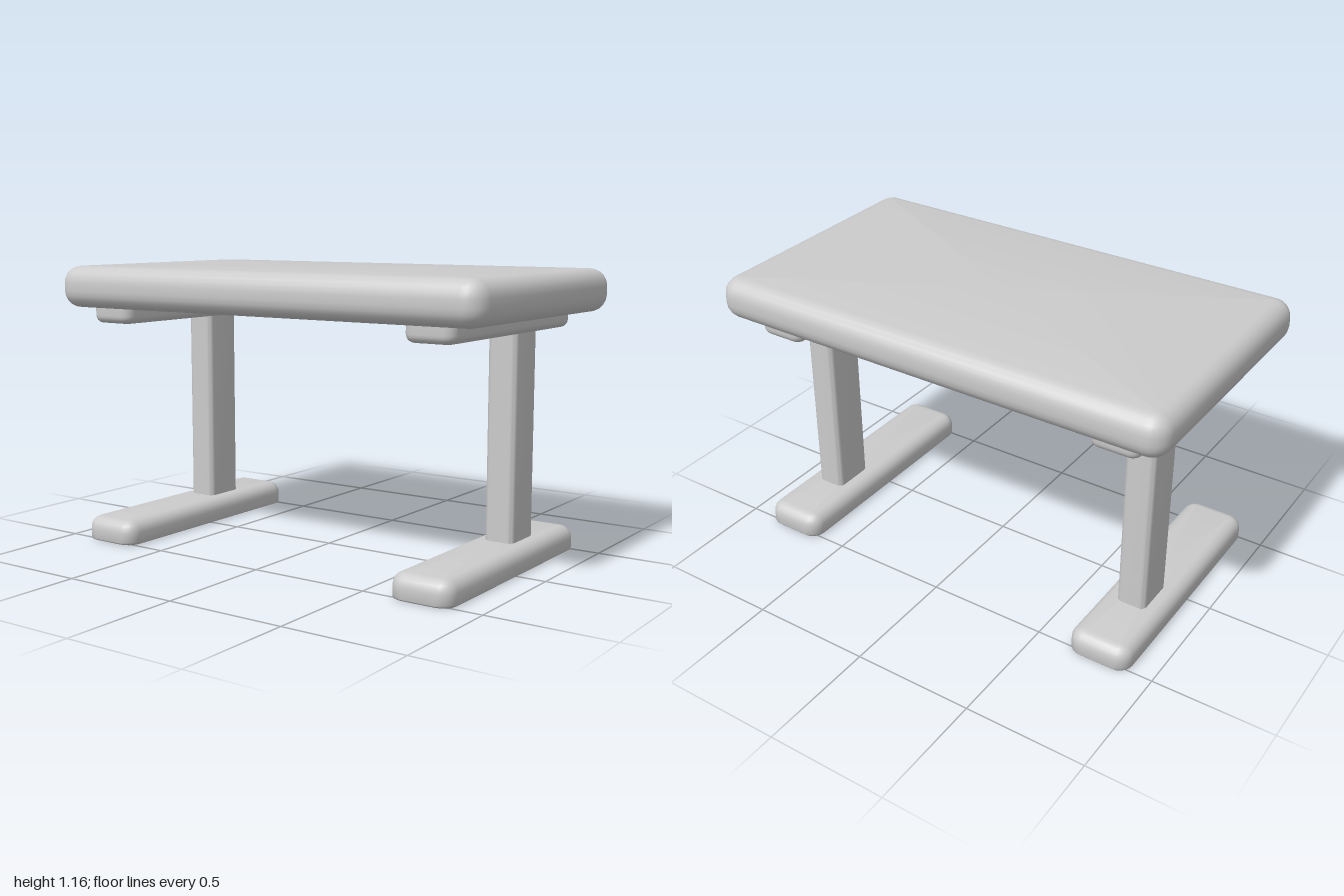
import * as THREE from 'three';
import { toCreasedNormals } from 'three/addons/utils/BufferGeometryUtils.js';

const material = new THREE.MeshStandardMaterial({ color: 0xcccccc });
const ARC = 5; // steps per rounded edge

// Rounded-rectangle slab from y0 to y1, with its own radius for the plan
// corners, the bottom edge and the top edge (0 leaves an edge square).
function slab(name, width, depth, y0, y1, corner, bottom, top) {
  const levels = []; // [height, inset] from bottom to top
  const quarter = (radius, isTop) => {
    const steps = radius ? ARC : 0;
    for (let i = 0; i <= steps; i++) {
      const a = steps ? (i / steps) * Math.PI / 2 : 0;
      levels.push(isTop
        ? [y1 - radius * (1 - Math.sin(a)), radius * (1 - Math.cos(a))]
        : [y0 + radius * (1 - Math.cos(a)), radius * (1 - Math.sin(a))]);
    }
  };
  quarter(bottom, false);
  quarter(top, true);

  const positions = [], index = [];
  const ring = 4 * (ARC + 1);
  for (const [y, inset] of levels) {
    const r = Math.max(corner - inset, 0.004);
    const cx = width / 2 - inset - r, cz = depth / 2 - inset - r;
    for (let q = 0; q < 4; q++) {
      const sx = q === 0 || q === 3 ? 1 : -1, sz = q < 2 ? 1 : -1;
      for (let i = 0; i <= ARC; i++) {
        const a = (q + i / ARC) * Math.PI / 2;
        positions.push(sx * cx + r * Math.cos(a), y, sz * cz + r * Math.sin(a));
      }
    }
  }
  const last = (levels.length - 1) * ring;
  const low = positions.length / 3, high = low + 1;
  positions.push(0, y0, 0, 0, y1, 0);
  for (let i = 0; i < ring; i++) {
    const j = (i + 1) % ring;
    for (let k = 0; k < last; k += ring) {
      index.push(k + i, k + ring + i, k + j, k + j, k + ring + i, k + ring + j);
    }
    index.push(low, i, j, high, last + j, last + i);
  }
  const geometry = new THREE.BufferGeometry();
  geometry.setAttribute('position', new THREE.Float32BufferAttribute(positions, 3));
  geometry.setIndex(index);
  const mesh = new THREE.Mesh(toCreasedNormals(geometry, 0.7), material);
  mesh.name = name;
  return mesh;
}

export function createModel() {
  const desk = new THREE.Group();
  desk.name = 'desk';

  // Thick, soft-edged top
  desk.add(slab('tabletop', 2, 1.125, 0.99, 1.163, 0.078, 0.07, 0.07));

  // Two T-shaped legs, with columns set towards the back
  for (const [name, x] of [['rightLeg', -0.772], ['leftLeg', 0.753]]) {
    const leg = new THREE.Group();
    leg.name = name;
    leg.position.x = x;
    const column = slab('column', 0.124, 0.188, 0.09, 0.935, 0.025, 0, 0);
    column.position.z = -0.172;
    leg.add(
      slab('foot', 0.262, 1.062, 0, 0.1, 0.06, 0.01, 0.05),
      column,
      slab('supportBar', 0.208, 0.975, 0.926, 1.0, 0.045, 0.032, 0),
    );
    desk.add(leg);
  }
  return desk;
}
